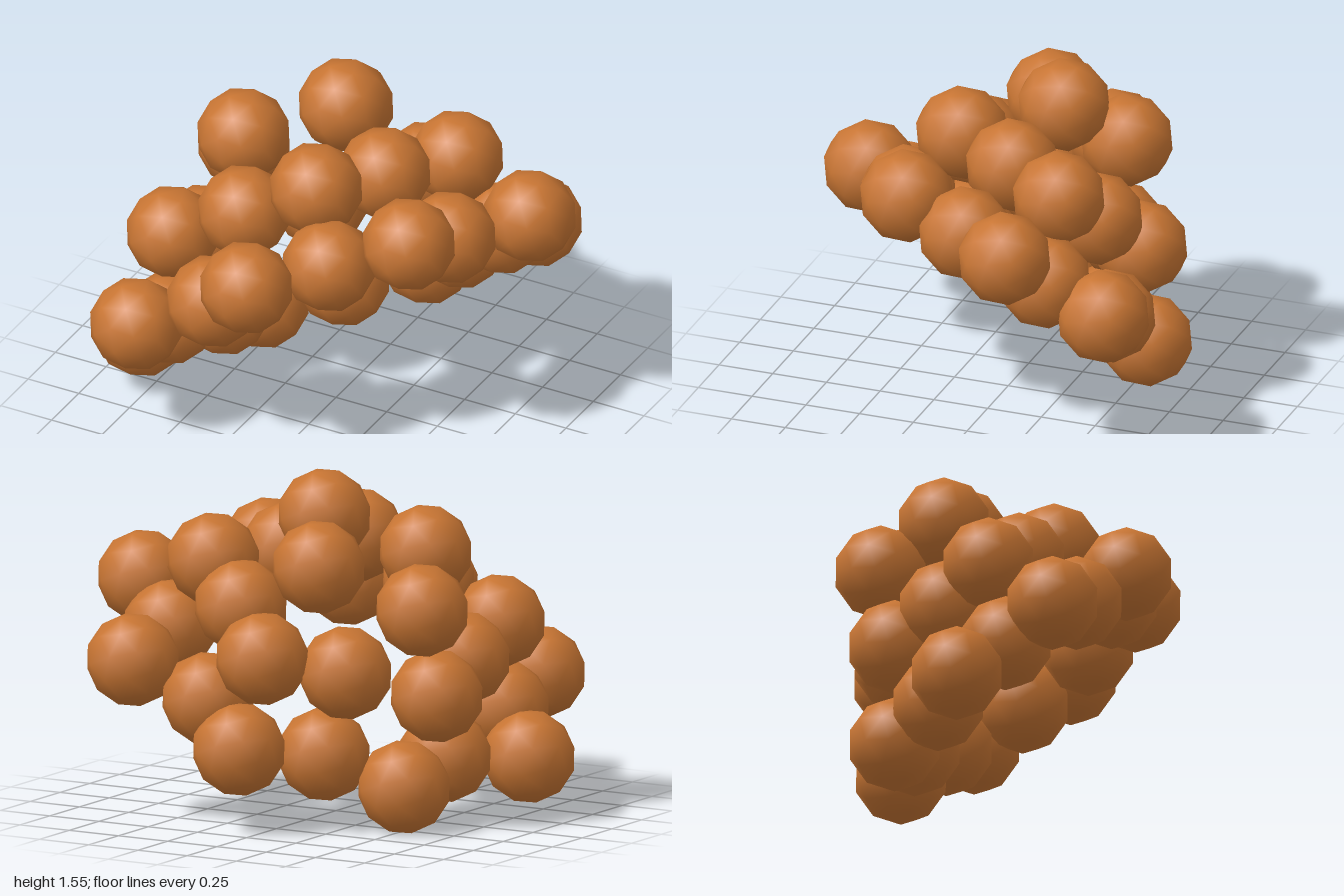
import * as THREE from 'three';

// Ball centres (x, y, z), grouped by region of the cluster
const REGIONS = {
  crown: [
    [-0.08, 1.365, -0.23], [-0.47, 1.21, -0.025], [0.015, 1.20, 0.21],
    [0.19, 1.17, -0.09], [0.39, 1.15, -0.385], [-0.2, 1.185, -0.475],
  ],
  leftSide: [
    [0.51, 1.10, 0.28], [0.80, 1.02, -0.29], [0.555, 0.99, -0.01],
    [0.6, 0.84, -0.4], [0.62, 0.73, -0.68],
  ],
  front: [
    [-0.31, 1.02, 0.265], [0.18, 0.96, 0.4], [-0.08, 0.92, 0.675],
    [-0.3, 0.73, 0.57], [-0.62, 0.58, 0.68],
  ],
  rightSide: [
    [-0.6, 1.0, -0.27], [-0.625, 0.86, 0.335], [-0.6, 0.735, 0.08],
    [-0.62, 0.61, -0.18], [-0.6, 0.47, 0.41], [-0.8, 0.285, 0.295],
    [-0.55, 0.31, 0.005], [-0.505, 0.21, -0.265],
  ],
  back: [
    [0.19, 0.98, -0.485], [0.0, 0.785, -0.62], [-0.29, 0.715, -0.4],
    [0.295, 0.575, -0.585], [-0.18, 0.345, -0.4], [0.085, 0.385, -0.675],
  ],
};

export function createModel() {
  const model = new THREE.Group();
  model.name = 'ballCluster';
  const copper = new THREE.MeshStandardMaterial({ color: 0xc87533 });
  copper.name = 'copper';

  // One low-poly ball with smooth normals, slightly tilted, shared by all
  const ball = new THREE.IcosahedronGeometry(0.206, 1);
  ball.rotateZ(0.25).rotateX(0.2);

  for (const [region, centres] of Object.entries(REGIONS)) {
    const group = new THREE.Group();
    group.name = region;
    centres.forEach((c, i) => {
      const mesh = new THREE.Mesh(ball, copper);
      mesh.name = `${region}Ball${i + 1}`;
      mesh.position.set(...c);
      group.add(mesh);
    });
    model.add(group);
  }
  return model;
}
